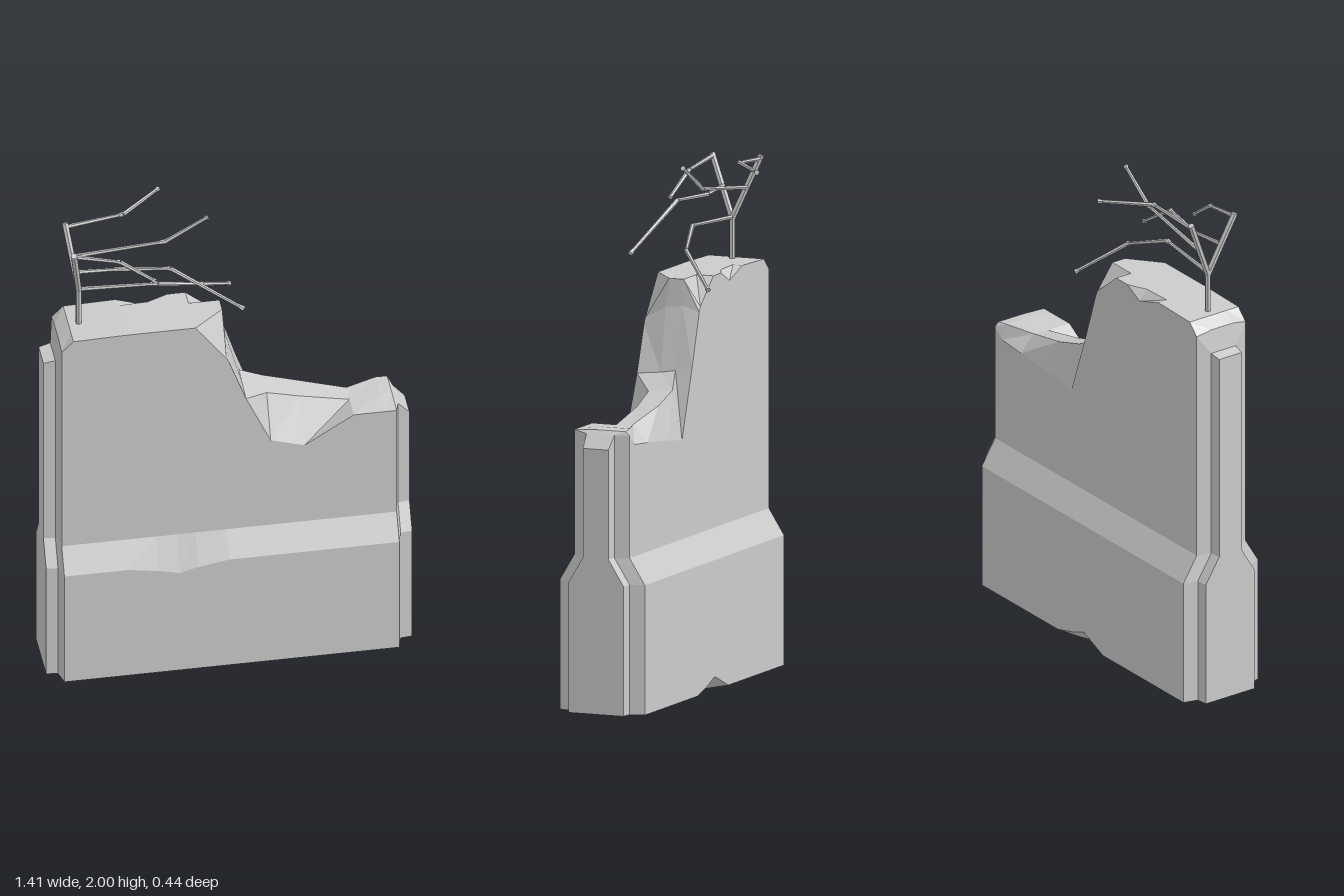
import * as THREE from 'three';

const concrete = new THREE.MeshStandardMaterial({ color: 0xcccccc, flatShading: true });
const steel = new THREE.MeshStandardMaterial({ color: 0xcccccc, flatShading: true });

// Stations along the slab: x, front top y, inner ridge (z, y), second ridge (z, y),
// back top y, side inset, front ledge y, back bottom chip size
const stations = [
  [-0.705, 1.43, 0.08, 1.43, 0.01, 1.43, 1.43, 0.062],
  [-0.66, 1.44, 0.08, 1.44, 0.01, 1.44, 1.44, 0.057],
  [-0.645, 1.52, 0.10, 1.53, 0.00, 1.53, 1.52],
  [-0.60, 1.565, 0.10, 1.565, 0.00, 1.565, 1.565],
  [-0.40, 1.57, 0.10, 1.57, -0.03, 1.57, 1.57],
  [-0.28, 1.57, 0.10, 1.57, -0.035, 1.57, 1.53, 0, 0.48],
  [-0.20, 1.57, 0.10, 1.57, -0.03, 1.57, 1.57, 0, 0.46],
  [-0.13, 1.57, 0.10, 1.57, 0.00, 1.57, 1.57, 0, 0.48],
  [-0.01, 1.41, 0.06, 1.57, 0.00, 1.57, 1.47, 0, 0.5, 0.05],
  [0.00, 1.39, 0.07, 1.46, 0.00, 1.47, 1.45, 0, 0.5, 0.05],
  [0.065, 1.21, 0.06, 1.22, 0.00, 1.23, 1.25, 0, 0.5, 0.025],
  [0.16, 1.00, 0.07, 1.16, -0.03, 1.17, 0.98],
  [0.29, 0.96, 0.06, 1.12, -0.03, 1.13, 1.00],
  [0.48, 1.08, 0.06, 1.08, -0.01, 1.085, 1.02],
  [0.60, 1.08, 0.06, 1.09, -0.05, 1.09, 1.03],
  [0.645, 1.08, 0.06, 1.085, -0.055, 1.085, 1.07],
  [0.66, 1.07, 0.08, 1.07, 0.01, 1.07, 1.07, 0.057],
  [0.705, 1.02, 0.08, 1.02, 0.01, 1.02, 1.02, 0.062],
];

// Cross-section of the slab, from the front foot over the top to the back foot
function section([x, front, z1, y1, z2, y2, back, inset = 0, ledge = 0.5, chip = 0]) {
  return [
    [0.22 - inset, 0], [0.22 - inset, ledge], [0.16 - inset, 0.6], [0.16 - inset, front],
    [z1, y1], [z2, y2], [-0.07 + inset, back],
    [-0.07 + inset, 0.6], [-0.133 + inset, 0.5], [-0.133 + inset, chip], [-0.133 + inset + chip, 0],
  ].map(([z, y]) => [x, y, z]);
}

function slabGeometry() {
  const loops = stations.map(section);
  const n = loops[0].length, last = loops.length - 1;
  const positions = [...loops.flat(2), stations[0][0], 0.55, 0.045, stations[last][0], 0.55, 0.045];
  const index = [];
  const startCentre = loops.length * n, endCentre = startCentre + 1;
  for (let j = 0; j < n; j++) {
    const k = (j + 1) % n;
    for (let i = 0; i < last; i++) {
      const a = i * n + j, b = a + n, c = (i + 1) * n + k, d = i * n + k;
      index.push(a, b, c, a, c, d);
    }
    index.push(startCentre, j, k, endCentre, last * n + k, last * n + j);
  }
  const geometry = new THREE.BufferGeometry();
  geometry.setAttribute('position', new THREE.Float32BufferAttribute(positions, 3));
  geometry.setIndex(index);
  const flat = geometry.toNonIndexed();
  flat.computeVertexNormals();
  return flat;
}

// A straight bar between two points
function bar(a, b, r0, r1, name) {
  const from = new THREE.Vector3(...a), to = new THREE.Vector3(...b);
  const along = to.clone().sub(from);
  const mesh = new THREE.Mesh(new THREE.CylinderGeometry(r1, r0, along.length(), 6), steel);
  mesh.position.copy(from).add(to).multiplyScalar(0.5);
  mesh.quaternion.setFromUnitVectors(new THREE.Vector3(0, 1, 0), along.normalize());
  mesh.name = name;
  return mesh;
}

// A bent rod with a small collar at each bend and at the tip
function bentRod(points, name) {
  const rod = new THREE.Group();
  rod.name = name;
  for (let i = 1; i < points.length; i++) {
    const a = points[i - 1], b = points[i];
    rod.add(bar(a, b, 0.009, 0.007, 'rodSegment'));
    const collarStart = a.map((v, k) => b[k] + (v - b[k]) * 0.07);
    rod.add(bar(collarStart, b, 0.008, 0.011, 'rodCollar'));
  }
  return rod;
}

export function createModel() {
  const model = new THREE.Group();
  model.name = 'brokenBarrier';

  const slab = new THREE.Mesh(slabGeometry(), concrete);
  slab.name = 'concreteSlab';
  model.add(slab);

  // Exposed reinforcement: a post that forks in two
  const rebar = new THREE.Group();
  rebar.name = 'reinforcement';
  const fork = [-0.56, 1.72, 0.045];
  rebar.add(
    bar([-0.56, 1.5, 0.045], fork, 0.012, 0.012, 'post'),
    bar(fork, [-0.595, 1.96, 0.145], 0.013, 0.013, 'frontFork'),
    bar(fork, [-0.595, 1.965, -0.06], 0.013, 0.013, 'backFork'),
  );

  // Bent rods branching off the fork
  const rods = [
    [[-0.59, 1.95, -0.055], [-0.37, 1.97, -0.07], [-0.21, 1.965, -0.215]],
    [[-0.59, 1.95, 0.14], [-0.42, 1.92, 0.16], [-0.29, 1.83, 0.182]],
    [[-0.575, 1.84, -0.01], [-0.22, 1.885, 0.015], [-0.06, 1.988, 0.025]],
    [[-0.575, 1.84, 0.09], [-0.42, 1.83, 0.085], [-0.22, 1.835, 0.12], [0.05, 1.665, 0.195]],
    [[-0.56, 1.725, 0.045], [-0.26, 1.735, 0.075], [-0.08, 1.67, 0.02], [0.05, 1.545, -0.13]],
  ];
  rods.forEach((points, i) => rebar.add(bentRod(points, `bentRod${i + 1}`)));
  model.add(rebar);
  return model;
}
